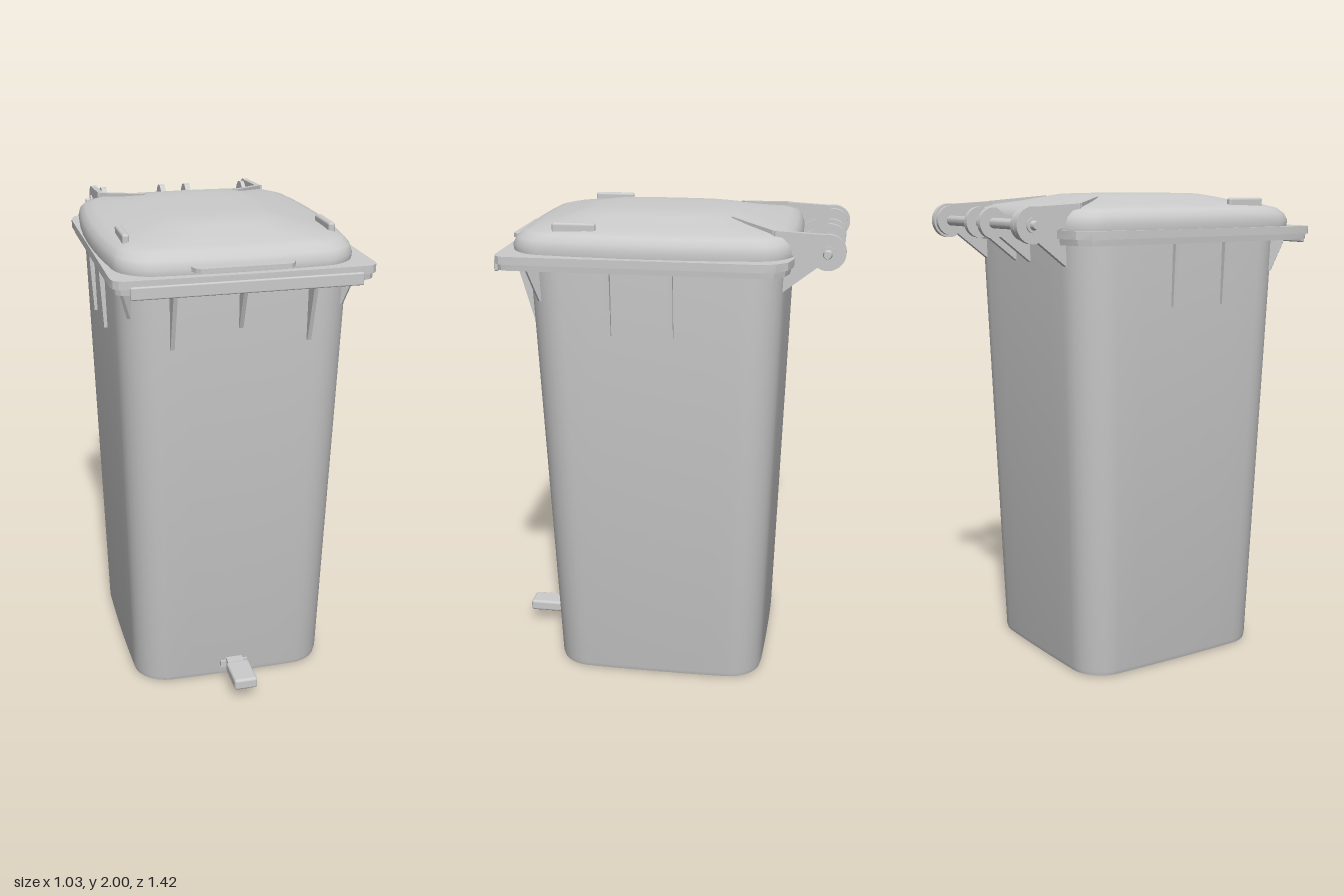
import * as THREE from 'three';
import { toCreasedNormals } from 'three/addons/utils/BufferGeometryUtils.js';
import { RoundedBoxGeometry } from 'three/addons/geometries/RoundedBoxGeometry.js';

const material = new THREE.MeshStandardMaterial({ color: 0xcccccc });

function add(parent, name, geometry, x = 0, y = 0, z = 0) {
  const mesh = new THREE.Mesh(geometry, material);
  mesh.name = name;
  mesh.position.set(x, y, z);
  parent.add(mesh);
  return mesh;
}

// Rounded rectangle outline at height y, with its sides slightly bowed outwards
function ring([y, w, zb, zf, rb, rf = rb], bowX, bowZ, steps) {
  const zc = (zb + zf) / 2, hz = (zf - zb) / 2;
  const corners = [[1, zf, rf, 1], [-1, zf, rf, 1], [-1, zb, rb, -1], [1, zb, rb, -1]];
  const raw = [];
  corners.forEach(([sx, ze, r, sz], q) => {
    for (let i = 0; i <= steps; i++) {
      const a = (q + i / steps) * Math.PI / 2;
      raw.push([sx * (w - r) + r * Math.cos(a), ze - sz * r + r * Math.sin(a)]);
    }
  });
  // Subdivide the straight sides, then bow everything
  const points = [];
  raw.forEach((p, i) => {
    const next = raw[(i + 1) % raw.length];
    const n = i % (steps + 1) === steps ? 6 : 1;
    for (let k = 0; k < n; k++) {
      const x = p[0] + (next[0] - p[0]) * k / n, z = p[1] + (next[1] - p[1]) * k / n;
      const u = x / w, v = (z - zc) / hz;
      points.push([x * (1 + bowX * (1 - v * v)), y, z + bowZ * v * (1 - u * u)]);
    }
  });
  return points;
}

// Skin over a stack of outlines, closed at both ends
function loft(levels, bowX, bowZ, steps, crease) {
  const rings = levels.map(l => ring(l, bowX, bowZ, steps));
  const n = rings[0].length, last = (rings.length - 1) * n;
  const positions = rings.flat(2), index = [];
  for (let i = 0; i < rings.length - 1; i++) {
    for (let j = 0; j < n; j++) {
      const a = i * n + j, b = i * n + (j + 1) % n;
      index.push(a, a + n, b, a + n, b + n, b);
    }
  }
  const bottom = rings.length * n;
  for (const l of [levels[0], levels[levels.length - 1]]) positions.push(0, l[0], (l[2] + l[3]) / 2);
  for (let j = 0; j < n; j++) {
    const k = (j + 1) % n;
    index.push(bottom, j, k, bottom + 1, last + k, last + j);
  }
  const geometry = new THREE.BufferGeometry();
  geometry.setAttribute('position', new THREE.Float32BufferAttribute(positions, 3));
  geometry.setIndex(index);
  return toCreasedNormals(geometry, crease);
}

// Flat plate with its outline in the z-y plane, centred on x = 0
function plate(shape, thickness) {
  const geometry = new THREE.ExtrudeGeometry(shape, { depth: thickness, bevelEnabled: false, curveSegments: 20 });
  return geometry.rotateY(-Math.PI / 2).translate(thickness / 2, 0, 0);
}
const polygon = points => new THREE.Shape(points.map(p => new THREE.Vector2(...p)));

// Plate outline ending in a round eye at the hinge axis
const AXIS_Z = -0.637, AXIS_Y = 1.885;
function eyePlate(points, radius, end, thickness) {
  const shape = new THREE.Shape();
  shape.moveTo(...points[0]);
  points.slice(1).forEach(p => shape.lineTo(...p));
  shape.absarc(AXIS_Z, AXIS_Y, radius, 1.35, end, false);
  return plate(shape, thickness);
}

export function createModel() {
  const model = new THREE.Group();
  model.name = 'wheelieBin';

  // Tapered container
  add(model, 'body', loft([
    [0, 0.395, -0.39, 0.465, 0.12],
    [0.006, 0.408, -0.403, 0.48, 0.13],
    [0.025, 0.414, -0.409, 0.486, 0.14],
    [1.845, 0.464, -0.468, 0.557, 0.15],
  ], 0.025, 0.008, 8, 0.6));

  // Overhanging rim, hollow underneath
  add(model, 'rim', loft([
    [1.84, 0.44, -0.44, 0.53, 0.12, 0.12],
    [1.84, 0.488, -0.475, 0.64, 0.1, 0.035],
    [1.805, 0.488, -0.475, 0.64, 0.1, 0.035],
    [1.805, 0.503, -0.492, 0.655, 0.11, 0.045],
    [1.83, 0.505, -0.495, 0.657, 0.11, 0.045],
    [1.83, 0.515, -0.505, 0.665, 0.12, 0.05],
    [1.862, 0.515, -0.505, 0.665, 0.12, 0.05],
  ], 0, 0.004, 3, 0.4));
  add(model, 'frontGripStrip', new RoundedBoxGeometry(0.9, 0.05, 0.016, 2, 0.006), 0, 1.815, 0.669);

  // Stiffening ribs under the rim
  for (const [x, low] of [[-0.272, 1.55], [0, 1.62], [0.277, 1.55]]) {
    add(model, 'frontRib', plate(polygon(
      [[0.54, low], [0.562, low], [0.645, 1.84], [0.54, 1.84]]), 0.016), x);
  }
  for (const s of [-1, 1]) {
    for (const z of [0.21, -0.04]) {
      add(model, 'sideRib', plate(polygon(
        [[0.45, 1.55], [0.479, 1.55], [0.497, 1.84], [0.45, 1.84]]), 0.016), 0, 0, z)
        .rotation.y = s * Math.PI / 2;
    }
    add(model, 'cornerRib', plate(polygon(
      [[0, 1.67], [0.02, 1.67], [0.09, 1.84], [0, 1.84]]), 0.016), s * 0.415, 0, 0.49)
      .rotation.y = s * Math.PI / 4;
  }

  // Hinge: brackets on the body, rod and washers
  for (const x of [-0.33, -0.057, 0.06, 0.33]) {
    add(model, 'hingeBracket', eyePlate([[-0.44, 1.7], [-0.44, 1.85], [-0.56, 1.9]], 0.062, 5.2, 0.024), x);
  }
  const rod = [[0, -0.413], [0.014, -0.413], [0.021, -0.385], [0.021, 0.385], [0.014, 0.413], [0, 0.413]];
  add(model, 'hingeRod', toCreasedNormals(new THREE.LatheGeometry(
    rod.map(p => new THREE.Vector2(...p)), 20).rotateZ(Math.PI / 2), 0.5), 0, AXIS_Y, AXIS_Z);
  for (const s of [-1, 1]) {
    add(model, 'hingeWasher', new THREE.CylinderGeometry(0.03, 0.03, 0.008, 20).rotateZ(Math.PI / 2),
      s * 0.389, AXIS_Y, AXIS_Z);
  }

  // Domed lid, sitting a little off centre
  const lid = new THREE.Group();
  lid.name = 'lid';
  lid.position.x = -0.013;
  model.add(lid);
  add(lid, 'lidShell', loft([
    [1.86, 0.452, -0.495, 0.615, 0.12],
    [1.885, 0.454, -0.497, 0.618, 0.12],
    [1.915, 0.448, -0.488, 0.602, 0.12],
    [1.938, 0.43, -0.472, 0.575, 0.12],
    [1.952, 0.395, -0.44, 0.53, 0.13],
    [1.968, 0.305, -0.36, 0.45, 0.14],
    [1.985, 0.235, -0.28, 0.385, 0.13],
    [1.997, 0.18, -0.22, 0.325, 0.11],
    [2.0, 0.1, -0.12, 0.2, 0.07],
  ], 0.1, 0.022, 6, 0.9));
  const lip = polygon([[-0.23, 0.56], [0.23, 0.56], [0.205, 0.625], [0.19, 0.66], [0.175, 0.675],
    [-0.175, 0.675], [-0.19, 0.66], [-0.205, 0.625]]);
  add(lid, 'lidFrontLip', new THREE.ExtrudeGeometry(lip, { depth: 0.018, bevelEnabled: false })
    .rotateX(Math.PI / 2), 0, 1.893);

  for (const s of [-1, 1]) {
    add(lid, 'lidGrip', new RoundedBoxGeometry(0.028, 0.05, 0.175, 3, 0.01), s * 0.408, 1.957, 0.36);
    add(lid, 'hingeArm', eyePlate([[-0.52, 1.87], [-0.42, 1.88], [-0.42, 1.965]], 0.071, 5.1, 0.024), s * 0.361);
    // Diagonal ridge continuing the arm across the lid
    add(lid, 'lidRidge', plate(polygon(
      [[-0.012, 1.88], [0.24, 1.9], [0.24, 1.989], [-0.012, 1.965]]), 0.022), s * 0.361, 0, -0.428)
      .rotation.y = -s * Math.atan2(0.16, 0.18);
  }

  // Foot pedal
  add(model, 'pedalStem', new THREE.BoxGeometry(0.07, 0.03, 0.14), 0, 0.075, 0.52);
  add(model, 'pedalMount', new THREE.BoxGeometry(0.12, 0.03, 0.04), 0, 0.062, 0.485);
  add(model, 'pedalPad', new RoundedBoxGeometry(0.1, 0.05, 0.15, 3, 0.012), 0, 0.085, 0.633);

  return model;
}
